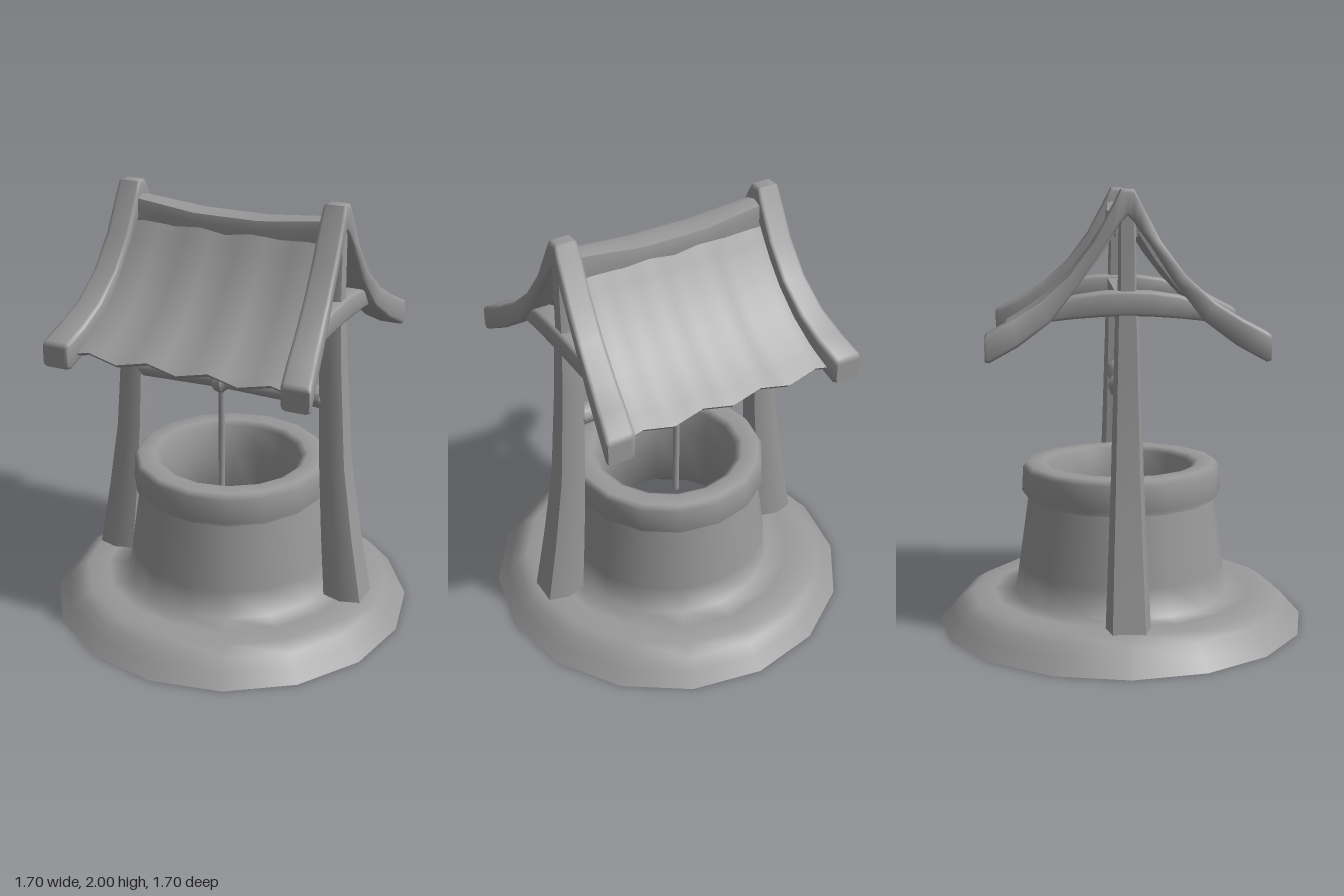
import * as THREE from 'three';
import { toCreasedNormals } from 'three/addons/utils/BufferGeometryUtils.js';

const solid = new THREE.MeshStandardMaterial({ color: 0x999999 });
const open = new THREE.MeshStandardMaterial({ color: 0x999999, side: THREE.DoubleSide });

// Piecewise linear lookup in rows of [key, a, b, ...] with rising keys
function sample(rows, key) {
  let i = 1;
  while (i < rows.length - 1 && key > rows[i][0]) i++;
  const p = rows[i - 1], q = rows[i];
  const t = THREE.MathUtils.clamp((key - p[0]) / (q[0] - p[0]), 0, 1);
  return p.map((v, k) => v + (q[k] - v) * t);
}

// Move every vertex by a rule
function bend(geometry, rule) {
  const pos = geometry.attributes.position;
  const v = new THREE.Vector3();
  for (let i = 0; i < pos.count; i++) {
    v.fromBufferAttribute(pos, i);
    rule(v);
    pos.setXYZ(i, v.x, v.y, v.z);
  }
  return geometry;
}

function lathe(profile, sides) {
  return new THREE.LatheGeometry(profile.map(p => new THREE.Vector2(...p)), sides);
}

// Bar along z with rounded edges, symmetric about z = 0.
// Rows from the middle to the end: upper z, upper y, lower z, lower y, width
function bar(rows, centre) {
  const n = rows.length - 1;
  return bend(new THREE.BoxGeometry(1, 1, 1, 3, 3, 2 * n), v => {
    const [uz, uy, lz, ly, width] = rows[Math.round(Math.abs(v.z) * 2 * n)];
    const corner = Math.abs(v.x) > 0.4 && Math.abs(v.y) > 0.4;
    const spread = c => Math.sign(c) * (Math.abs(c) < 0.4 ? 0.36 : corner ? 0.46 : 0.5);
    const t = spread(v.y) + 0.5;
    const z = Math.sign(Math.round(v.z * 2 * n)) * (lz + (uz - lz) * t);
    v.set(centre(z) + spread(v.x) * width, ly + (uy - ly) * t, z);
  });
}

export function createModel() {
  const model = new THREE.Group();
  model.name = 'well';
  const add = (name, geometry, material = solid, crease = 0.75) => {
    const mesh = new THREE.Mesh(crease ? toCreasedNormals(geometry, crease) : geometry, material);
    mesh.name = name;
    model.add(mesh);
    return mesh;
  };

  // Round plinth, an open shell running smoothly into the flared wall
  add('base', lathe([
    [0.85, 0], [0.8, 0.055], [0.757, 0.105], [0.7, 0.14], [0.6, 0.14], [0.496, 0.14],
    [0.477, 0.27], [0.456, 0.42], [0.433, 0.585],
  ], 16), open, 0);

  // Thick rim and hollow shaft with an open foot
  add('wellRim', lathe([
    [0.456, 0.42], [0.433, 0.585], [0.462, 0.612], [0.456, 0.725], [0.437, 0.75], [0.36, 0.75],
    [0.328, 0.73], [0.32, 0.6], [0.31, 0.3], [0.47, 0.3],
  ], 16), open, 0);

  // Curved six-sided posts: height, centre x, half width, half depth
  const postRows = [
    [0.1, 0.605, 0.092, 0.1], [0.14, 0.6, 0.09, 0.097], [0.45, 0.56, 0.075, 0.084], [0.8, 0.522, 0.06, 0.07],
    [1.28, 0.495, 0.052, 0.056], [1.5, 0.492, 0.045, 0.05], [1.56, 0.49, 0.042, 0.04], [1.92, 0.49, 0.04, 0.036],
  ];
  // Rafter and brace rows for bar()
  const rafterRows = [
    [0, 2, 0, 1.89, 0.1], [0.027, 2, 0.03, 1.86, 0.105], [0.05, 1.955, 0.055, 1.825, 0.11],
    [0.14, 1.785, 0.1, 1.765, 0.112], [0.244, 1.645, 0.2, 1.61, 0.116], [0.366, 1.535, 0.32, 1.455, 0.122],
    [0.48, 1.465, 0.455, 1.355, 0.13], [0.582, 1.412, 0.577, 1.29, 0.134], [0.594, 1.402, 0.594, 1.295, 0.12],
  ];
  const braceRows = [
    [0, 1.58, 0, 1.476, 0.112], [0.1, 1.577, 0.1, 1.473, 0.11], [0.22, 1.56, 0.22, 1.464, 0.1], [0.3, 1.53, 0.33, 1.452, 0.095],
  ];

  for (const [side, s] of [['left', 1], ['right', -1]]) {
    const post = new THREE.CylinderGeometry(1, 1, 1, 6, postRows.length - 1);
    add(side + 'Post', bend(post, v => {
      const [y, x, halfX, halfZ] = postRows[Math.round((v.y + 0.5) * (postRows.length - 1))];
      const z = Math.abs(v.z) > 0.9 ? v.z : v.z * 1.45;
      v.set(s * x + v.x * halfX / 0.866, y, z * halfZ);
    }), solid, 1.1);

    // Swept rafter pair, splayed and widened toward the eaves
    add(side + 'Rafters', bar(rafterRows, z => s * (0.49 + 0.072 * (z / 0.594) ** 2)), solid, 0.9);

    // Arched brace between the two rafter legs
    add(side + 'Brace', bar(braceRows, () => s * 0.49), solid, 0.9);
  }

  // Sagging ridge beam
  add('ridgeBeam', bend(new THREE.BoxGeometry(0.92, 1, 1, 6, 2, 2), v => {
    const u = Math.min(1, Math.max(0, (Math.abs(v.x) - 0.15) / 0.31));
    const half = 0.068 - 0.016 * u;
    const top = 1.91 + 0.032 * u;
    const corner = Math.abs(v.y) > 0.4 && Math.abs(v.z) > 0.4;
    v.z *= 2 * half * (corner ? 0.88 : 1);
    v.y = v.y > 0.4 ? top - (corner ? 0.012 : 0) : v.y < -0.4 ? 1.8 : top - 0.05;
  }));

  // Tie beam joining the post tops
  add('tieBeam', new THREE.BoxGeometry(0.94, 0.12, 0.09).translate(0, 1.505, 0));

  // Pleated cloth roof: fraction down the slope, z, y
  const slope = [
    [0, 0.055, 1.825], [0.2, 0.125, 1.715], [0.4, 0.215, 1.6], [0.6, 0.315, 1.5], [0.8, 0.425, 1.415], [1, 0.538, 1.345],
  ];
  for (const [name, turn] of [['frontCanopy', 0], ['backCanopy', Math.PI]]) {
    const sheet = bend(new THREE.BoxGeometry(1, 1, 1, 14, 10, 1), v => {
      const down = 0.5 - v.y;
      const [, z, y] = sample(slope, down);
      const x = v.x * (0.9 + 0.1 * down * down);
      const wave = Math.cos(v.x * Math.PI * 7);
      const lift = v.z * 0.02 - wave * (0.007 + 0.004 * down);
      const hem = -wave * 0.013 * down ** 4;
      v.set(x, y + lift * 0.75 + hem * 0.5, z + lift * 0.65 - hem);
    });
    add(name, sheet.rotateY(turn), solid, 0.9);
  }

  // Winding axle with a raised collar in the middle
  const axle = lathe([
    [0, -0.475], [0.042, -0.475], [0.052, -0.46], [0.05, -0.4], [0.042, -0.09], [0.05, -0.08], [0.063, -0.067],
    [0.063, -0.035], [0.05, -0.022], [0.042, -0.012], [0.05, 0.4], [0.052, 0.45], [0.042, 0.465], [0, 0.465],
  ], 10);
  add('axle', axle.rotateZ(-Math.PI / 2).translate(0, 1.11, 0));

  // Rope hanging into the shaft
  add('rope', new THREE.CylinderGeometry(0.016, 0.016, 0.62, 8).translate(-0.05, 0.78, 0), solid, 0.9);

  return model;
}
